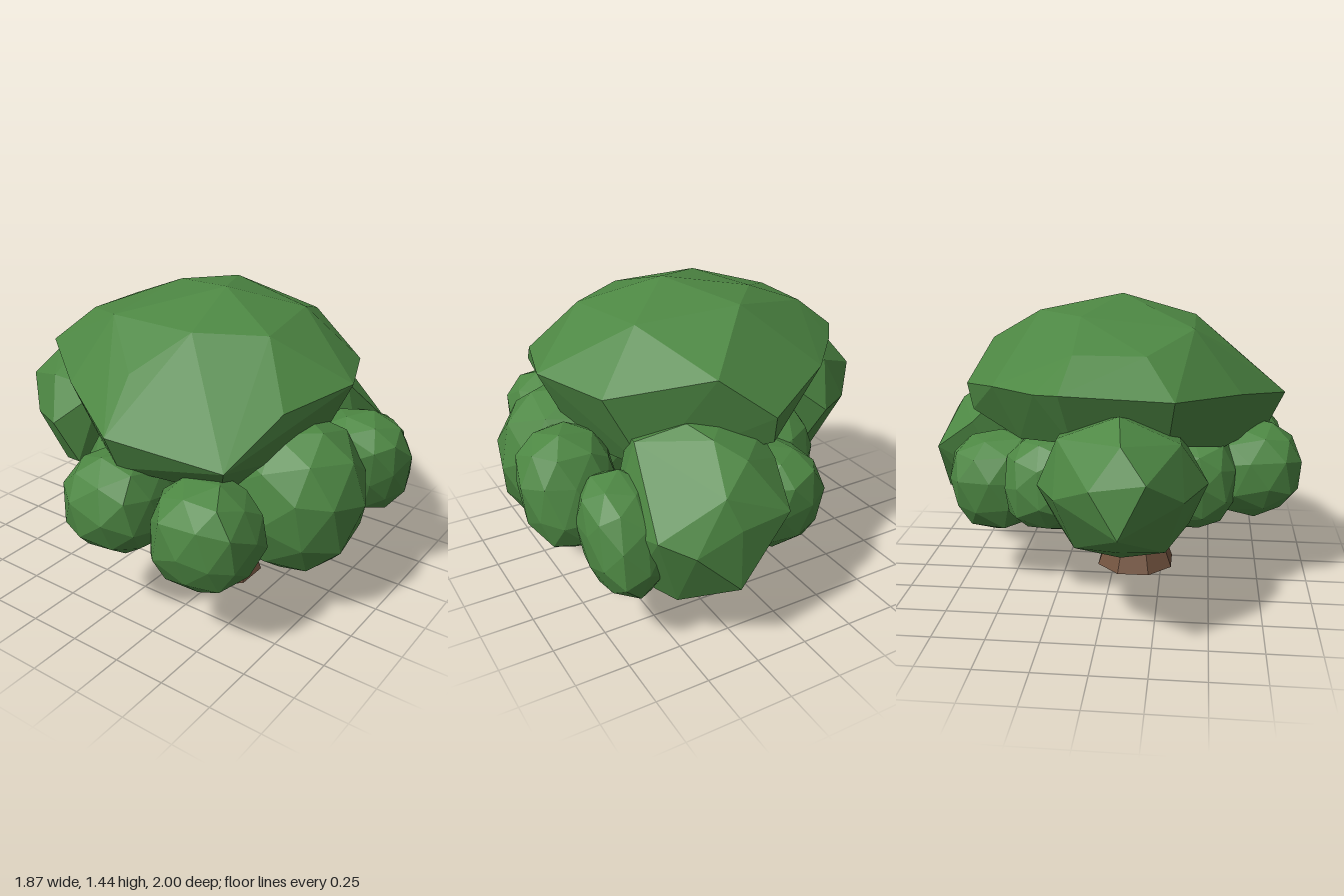
import * as THREE from 'three';
import { ConvexGeometry } from 'three/addons/geometries/ConvexGeometry.js';

const leaf = new THREE.MeshStandardMaterial({ color: 0x4d8743 });
const bark = new THREE.MeshStandardMaterial({ color: 0x745440 });
leaf.name = 'leaf green';
bark.name = 'bark brown';

const vec = (p) => new THREE.Vector3(...p);

function mesh(name, geometry, material) {
  const m = new THREE.Mesh(geometry, material);
  m.name = name;
  return m;
}

// faceted solid wrapped around a few corner points
const hull = (name, points) => mesh(name, new ConvexGeometry(points.map(vec)), leaf);

// faceted foliage ball: uneven, slightly boxy low-poly ellipsoid, optionally leaning in x with height
function lump(name, center, radii, lean = 0, seed = 0) {
  const pos = new THREE.IcosahedronGeometry(1, 1).getAttribute('position');
  const swell = (n) => Math.sign(n) * Math.abs(n) ** 0.85;
  const points = new Map();
  for (let i = 0; i < pos.count; i++) {
    const p = new THREE.Vector3().fromBufferAttribute(pos, i);
    const key = p.toArray().map((n) => Math.round(n * 100)).join();
    const bump = 0.99 + 0.04 * Math.sin(p.x * 7 + p.y * 11 + p.z * 5 + seed * 2.3);
    p.applyEuler(new THREE.Euler(seed, seed * 1.7, 0));
    p.set(swell(p.x), swell(p.y), swell(p.z)).multiplyScalar(bump).multiply(vec(radii));
    p.x += lean * p.y;
    points.set(key, p.add(vec(center)));
  }
  return mesh(name, new ConvexGeometry([...points.values()]), leaf);
}

// tapered six-sided limb between two points
function limb(name, from, to, r0, r1) {
  const a = vec(from), b = vec(to), dir = b.clone().sub(a);
  const g = new THREE.CylinderGeometry(r1, r0, dir.length(), 6).toNonIndexed();
  g.computeVertexNormals();
  const m = mesh(name, g, bark);
  m.position.copy(a).add(b).multiplyScalar(0.5);
  m.quaternion.setFromUnitVectors(new THREE.Vector3(0, 1, 0), dir.normalize());
  return m;
}

export function createModel() {
  const tree = new THREE.Group();
  tree.name = 'tree';

  // flared trunk
  const profile = [[0, 0], [0.21, 0], [0.165, 0.12], [0.14, 0.27], [0.125, 0.45], [0.16, 0.62], [0, 0.7]];
  const trunkShape = new THREE.LatheGeometry(profile.map((p) => new THREE.Vector2(...p)), 8).toNonIndexed();
  trunkShape.computeVertexNormals();
  const trunk = mesh('trunk', trunkShape, bark);
  trunk.position.set(-0.11, 0, 0.18);
  trunk.rotation.y = Math.PI / 8;
  tree.add(trunk);

  // branches reaching into the foliage
  const fork = [-0.11, 0.5, 0.17];
  [[0.3, 0.76, 0.18], [-0.33, 0.8, -0.13], [-0.48, 0.74, 0.3], [0.03, 0.78, 0.45]]
    .forEach((end) => tree.add(limb('branch', fork, end, 0.09, 0.06)));

  // broad crown: summit, shoulders, rim and underside
  tree.add(hull('crown', [
    [-0.04, 1.44, 0.15],
    [-0.62, 1.17, 0.05], [-0.4, 1.33, 0.22], [-0.4, 1.33, -0.22], [0.34, 1.38, -0.04], [0.22, 1.33, 0.42],
    [-0.22, 1.32, 0.5], [0.12, 1.38, -0.23], [-0.2, 1.26, -0.52], [0.12, 1.26, -0.52], [0.64, 1.19, 0.25],
    [-0.33, 1.1, -0.68], [0.16, 1.12, -0.69], [0.28, 1.1, -0.6], [0.51, 1.08, -0.38],
    [0.73, 1.0, 0.01], [0.36, 1.08, 0.65], [0, 1.1, 0.8], [-0.4, 1.07, 0.69],
    [-0.7, 0.89, 0.6], [-0.85, 0.97, 0.1], [-0.62, 1.05, -0.3],
    [0, 0.72, 0.62], [0.42, 0.73, 0.48], [0.7, 0.87, 0], [0.5, 0.76, 0], [0.4, 0.82, -0.32],
    [0.12, 0.88, -0.58], [-0.3, 0.88, -0.58], [-0.55, 0.77, -0.2], [-0.77, 0.8, 0.1],
    [-0.52, 0.68, 0.46], [0, 0.7, 0.1],
  ]));

  // large side clump
  tree.add(hull('largeSideFoliage', [
    [0.55, 0.98, 0.35], [0.69, 0.95, 0.3], [0.58, 0.96, 0.2], [0.45, 0.9, 0.55], [0.32, 0.87, 0.52],
    [0.8, 0.88, 0.2], [0.62, 0.89, 0.02], [0.71, 0.8, 0.0], [0.91, 0.65, 0.05], [0.88, 0.78, 0.35],
    [0.93, 0.64, 0.3], [0.93, 0.35, 0.3], [0.9, 0.55, 0.5], [0.79, 0.6, 0.62], [0.73, 0.24, 0.5],
    [0.55, 0.28, 0.61], [0.42, 0.5, 0.67], [0.6, 0.3, 0.25], [0.5, 0.42, 0.06], [0.75, 0.37, 0.13],
    [0.26, 0.6, 0.4], [0.35, 0.82, 0.12], [0.28, 0.36, 0.5],
  ]));

  // back clump, narrowing towards the rear
  tree.add(hull('backFoliage', [
    [-0.12, 0.61, -1.0], [-0.23, 0.83, -0.95], [0, 0.8, -0.96], [-0.38, 0.7, -0.78], [0.17, 0.7, -0.8],
    [-0.48, 0.72, -0.58], [0.27, 0.7, -0.62], [-0.1, 1.04, -0.69], [-0.12, 0.96, -0.86],
    [-0.36, 0.92, -0.67], [0.17, 0.93, -0.67], [-0.1, 0.37, -0.62], [-0.3, 0.43, -0.68],
    [0.1, 0.43, -0.67], [-0.4, 0.5, -0.5], [0.2, 0.48, -0.5], [-0.1, 0.44, -0.37],
    [-0.34, 0.9, -0.38], [0.18, 0.9, -0.38], [-0.12, 0.5, -0.86],
  ]));

  // smaller clumps around the crown: name, centre, radii, lean
  [
    ['frontFoliage', [-0.16, 0.59, 0.59], [0.33, 0.37, 0.36], 0],
    ['frontLeftFoliage', [0.22, 0.64, 0.77], [0.21, 0.26, 0.23], -0.25],
    ['lowFrontLeftFoliage', [0.52, 0.52, 0.66], [0.21, 0.26, 0.18], -0.3],
    ['frontRightFoliage', [-0.66, 0.56, 0.49], [0.23, 0.26, 0.25], 0],
    ['rightFoliage', [-0.68, 0.6, 0.04], [0.26, 0.24, 0.24], 0],
    ['backRightFoliage', [-0.4, 0.58, -0.12], [0.23, 0.25, 0.22], 0],
    ['backLeftFoliage', [0.27, 0.59, -0.25], [0.23, 0.25, 0.22], 0],
    ['leftFoliage', [0.56, 0.53, -0.08], [0.25, 0.25, 0.23], 0],
  ].forEach(([name, c, r, lean], i) => tree.add(lump(name, c, r, lean, i + 1)));

  return tree;
}
